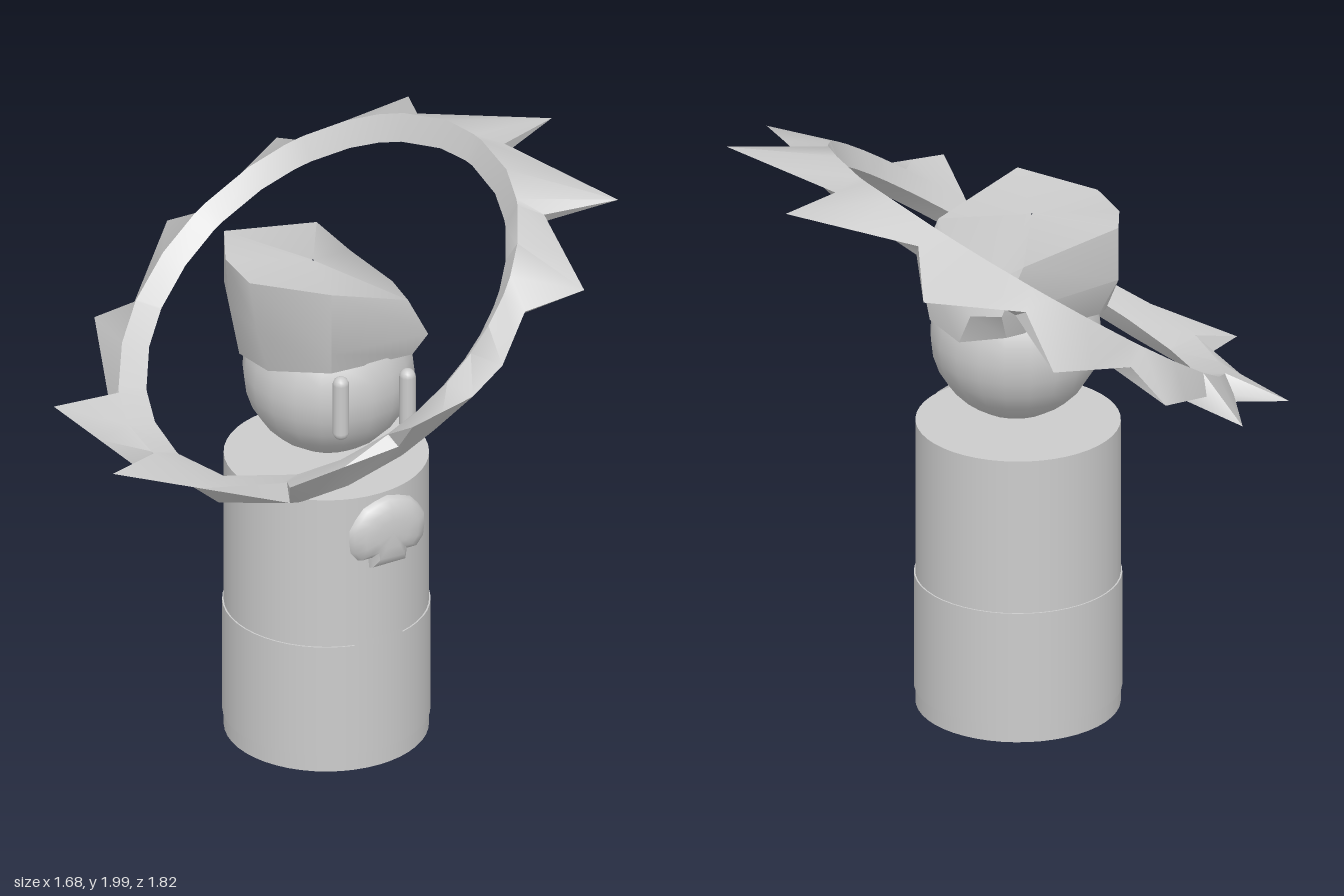
import * as THREE from 'three';
import { toCreasedNormals } from 'three/addons/utils/BufferGeometryUtils.js';

const CX = -0.05, CZ = 0.035; // axis of the figure
const material = new THREE.MeshStandardMaterial({ color: 0xcccccc });

function add(group, name, geometry, x = 0, y = 0, z = 0) {
  const mesh = new THREE.Mesh(geometry, material);
  mesh.name = name;
  mesh.position.set(x, y, z);
  group.add(mesh);
  return mesh;
}

// Skin a list of closed cross-sections; optionally join the last to the first.
function loft(rings, joinEnds, crease) {
  const n = rings[0].length, count = rings.length, index = [];
  const last = joinEnds ? count : count - 1;
  for (let i = 0; i < last; i++) {
    for (let j = 0; j < n; j++) {
      const i2 = (i + 1) % count, j2 = (j + 1) % n;
      const a = i * n + j, b = i * n + j2, c = i2 * n + j2, d = i2 * n + j;
      index.push(a, d, c, a, c, b);
    }
  }
  const geometry = new THREE.BufferGeometry();
  geometry.setAttribute('position', new THREE.Float32BufferAttribute(rings.flat(2), 3));
  geometry.setIndex(index);
  return toCreasedNormals(geometry, crease);
}

// Shrink a ring almost to a point, to close the end of a loft.
const shrink = (ring, c) => ring.map((p) => p.map((v, k) => c[k] + (v - c[k]) * 0.01));

// Floppy cap: rim, middle and top, each clockwise from the left side
function capGeometry() {
  const rim = [[0.24, 1.39, -0.1], [0.24, 1.39, 0.1], [0.14, 1.41, 0.26], [-0.19, 1.45, 0.3],
    [-0.31, 1.4, 0.1], [-0.31, 1.38, -0.08], [-0.22, 1.43, -0.2], [0.12, 1.42, -0.2]];
  const middle = [[0.225, 1.5, -0.15], [0.225, 1.5, 0.1], [0.17, 1.5, 0.31], [-0.2, 1.53, 0.318],
    [-0.34, 1.55, 0.08], [-0.335, 1.55, -0.1], [-0.27, 1.56, -0.243], [0.16, 1.52, -0.243]];
  const top = [[0.15, 1.6, -0.15], [0.16, 1.6, 0.1], [0.1, 1.64, 0.3], [-0.2, 1.75, 0.318],
    [-0.367, 1.73, 0.08], [-0.35, 1.73, -0.1], [-0.27, 1.745, -0.243], [0.08, 1.68, -0.243]];
  return loft([shrink(rim, [-0.04, 1.42, 0.035]), rim, middle, top,
    shrink(top, [-0.1, 1.72, 0.035])], false, 0.75);
}

// Tilted brim ring: outer edge alternates tip and valley
function brimGeometry() {
  const edge = [
    [0.84, 1.95, -0.03], [0.62, 1.95, 0.04], [0.75, 1.94, 0.54], [0.53, 1.9, 0.44],
    [0.445, 1.83, 0.835], [0.29, 1.74, 0.72], [0.115, 1.66, 0.87], [0, 1.58, 0.875],
    [-0.245, 1.55, 0.905], [-0.23, 1.42, 0.79], [-0.58, 1.32, 0.69], [-0.52, 1.2, 0.59],
    [-0.845, 1.13, 0.015], [-0.715, 1.09, 0], [-0.765, 1.12, -0.49], [-0.61, 1.14, -0.4],
    [-0.435, 1.22, -0.785], [-0.37, 1.29, -0.66], [-0.085, 1.42, -0.91], [-0.035, 1.51, -0.765],
    [0.32, 1.62, -0.895], [0.29, 1.73, -0.65], [0.64, 1.82, -0.6], [0.53, 1.9, -0.36]];
  const outer = [];
  edge.forEach((p, i) => {
    outer.push(p);
    if (i % 2) { // extra point on the long side of each spike
      const q = edge[(i + 1) % edge.length];
      outer.push(p.map((v, k) => (v + q[k]) / 2));
    }
  });
  const planeY = (x) => 1.555 + 0.7 * Math.max(-0.62, Math.min(0.555, x));
  const sections = outer.map((o) => {
    const t = Math.atan2((o[2] - CZ) / 0.675, (o[0] - CX) / 0.548);
    const at = (grow) => {
      const x = CX + Math.cos(t) * (0.548 + grow), z = CZ + Math.sin(t) * (0.675 + grow);
      return [x, planeY(x), z];
    };
    const mid = at(0.065);
    const side = (s) => [mid[0] - 0.03 * s, mid[1] + 0.044 * s, mid[2]];
    return [at(0), side(1), o, side(-1)];
  });
  return loft(sections, true, 0.95);
}

// Domed scallop badge: clockwise outline, raised towards the centre
function badgeGeometry() {
  const outline = [[0.065, -0.13], [-0.065, -0.13], [-0.07, -0.09]];
  for (let i = 0; i <= 14; i++) {
    const a = Math.PI * (1.22 - (1.44 * i) / 14);
    const r = i % 2 ? 1 : 0.97;
    outline.push([Math.cos(a) * 0.146 * r, -0.01 + Math.sin(a) * 0.13 * r]);
  }
  outline.push([0.07, -0.09]);
  const levels = [[0.01, 0], [1, 0], [0.93, 0.018], [0.7, 0.036], [0.4, 0.044], [0.01, 0.046]];
  return loft(levels.map(([s, z]) => outline.map(([x, y]) => [x * s, y * s, z])), false, 0.8);
}

export function createModel() {
  const model = new THREE.Group();
  model.name = 'figure';

  // Body
  const tube = (r, y0, y1) => new THREE.CylinderGeometry(r, r, y1 - y0, 48).translate(0, (y0 + y1) / 2, 0);
  add(model, 'base', tube(0.333, 0, 0.06), CX, 0, CZ);
  add(model, 'skirt', tube(0.338, 0.06, 0.46), CX, 0, CZ);
  add(model, 'torso', tube(0.333, 0.46, 1), CX, 0, CZ);
  // Thin clasp on the front of the waist
  add(model, 'clasp', new THREE.CylinderGeometry(0.34, 0.34, 0.025, 8, 1, true, -0.27, 0.54), CX, 0.465, CZ);
  add(model, 'badge', badgeGeometry(), -0.035, 0.88, 0.39);

  // Head
  add(model, 'head', new THREE.SphereGeometry(0.28, 20, 14), -0.042, 1.31, CZ);
  for (const [name, x, y] of [['rightEye', -0.175, 1.335], ['leftEye', 0.077, 1.295]]) {
    add(model, name, new THREE.CapsuleGeometry(0.027, 0.175, 5, 12), x, y, 0.335);
  }

  // Hat
  add(model, 'cap', capGeometry());
  add(model, 'brim', brimGeometry());
  return model;
}
